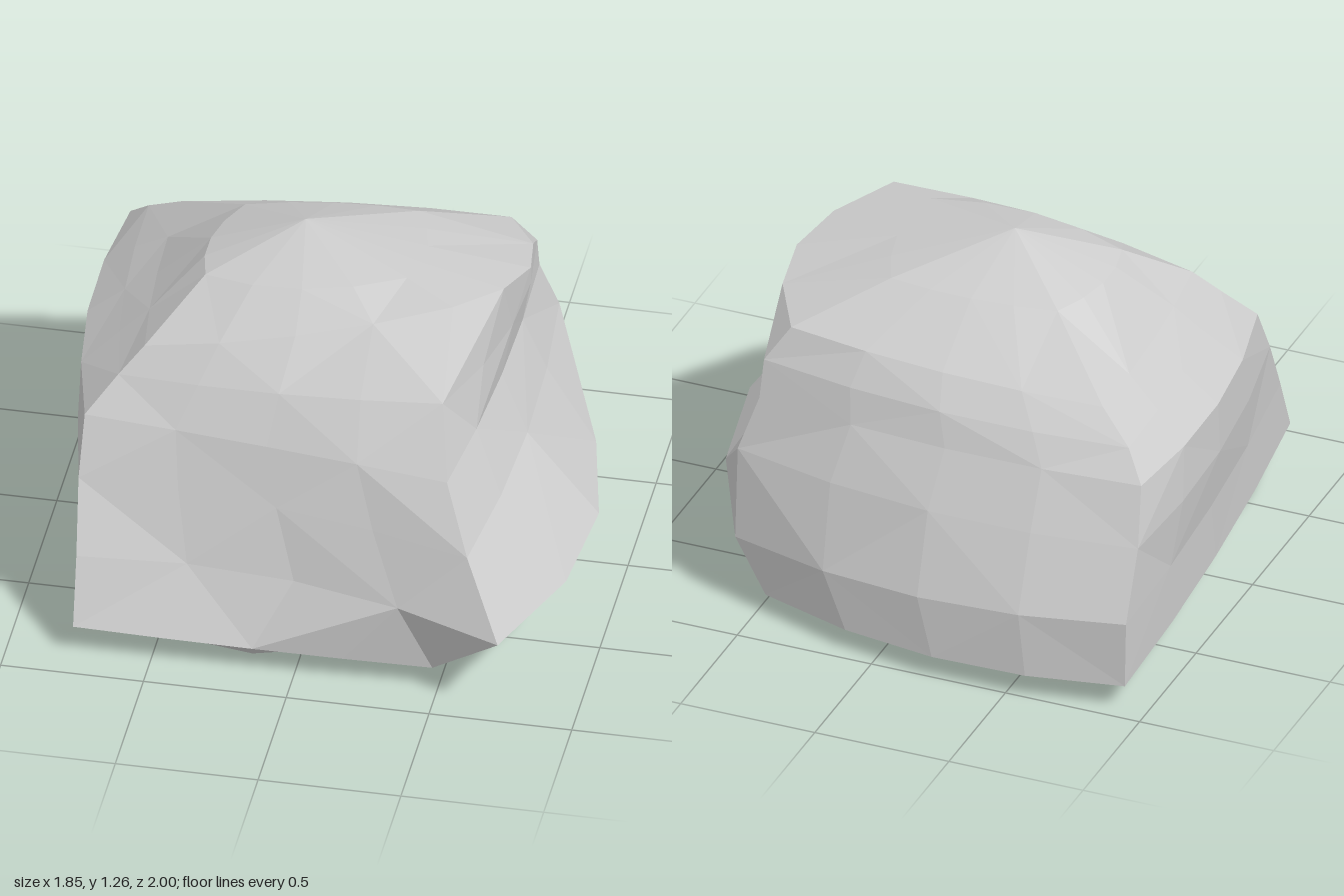
import * as THREE from 'three';

const STEPS = 4; // facets along each side of the rock

// A four-sided cross-section. Corners run front-left, front-right, back-right,
// back-left as x,y,z; bulge pushes the middle of the front, right, back and
// left sides outwards.
function ring(corners, bulge) {
  const points = [];
  corners.forEach((corner, side) => {
    const from = new THREE.Vector3(...corner);
    const to = new THREE.Vector3(...corners[(side + 1) % 4]);
    const angle = side * Math.PI / 2;
    const outward = new THREE.Vector3(Math.sin(angle), 0, Math.cos(angle));
    for (let i = 0; i < STEPS; i++) {
      const t = i / STEPS;
      points.push(from.clone().lerp(to, t).addScaledVector(outward, bulge[side] * 4 * t * (1 - t)));
    }
  });
  return points;
}

// Joins the rings with triangles and closes both ends with a fan.
function loft(rings, bottom, top) {
  const n = rings[0].length;
  const points = [...rings.flat(), bottom, top];
  const index = [];
  const topId = points.length - 1;
  const last = (rings.length - 1) * n;
  for (let i = 0; i < n; i++) {
    const j = (i + 1) % n;
    index.push(j, i, topId - 1, last + i, last + j, topId);
    for (let r = 0; r < rings.length - 1; r++) {
      const a = r * n + i, b = r * n + j, c = b + n, d = a + n;
      // alternate the diagonal for a chipped look
      if ((r + i) % 2) index.push(a, b, c, a, c, d);
      else index.push(a, b, d, b, c, d);
    }
  }
  const geometry = new THREE.BufferGeometry().setFromPoints(points);
  geometry.setIndex(index);
  const flat = geometry.toNonIndexed();
  flat.computeVertexNormals();
  return flat;
}

export function createModel() {
  const rings = [
    // underside, where the rock rests
    ring([[-0.78, 0.03, 0.55], [0.46, 0, 0.42], [0.42, 0.02, -0.5], [-0.78, 0.04, -0.6]], [0.3, 0, 0.1, 0]),
    // foot
    ring([[-0.77, 0.11, 0.88], [0.48, 0.08, 0.84], [0.47, 0.07, -0.82], [-0.92, 0.09, -0.94]], [0.01, 0.1, 0.12, 0.03]),
    // overhanging ledge with a pointed front corner
    ring([[-0.78, 0.33, 0.77], [0.74, 0.32, 1], [0.6, 0.25, -0.78], [-0.92, 0.33, -0.93]], [-0.12, 0.25, 0.12, 0.03]),
    // shoulder above the ledge
    ring([[-0.8, 0.56, 0.63], [0.6, 0.55, 0.83], [0.62, 0.56, -0.71], [-0.91, 0.56, -0.8]], [-0.06, 0.05, 0.09, 0.06]),
    // waist
    ring([[-0.8, 0.75, 0.52], [0.5, 0.75, 0.68], [0.56, 0.75, -0.66], [-0.88, 0.75, -0.7]], [-0.01, 0.03, 0.05, 0.07]),
    ring([[-0.7, 0.87, 0.43], [0.45, 0.95, 0.5], [0.56, 0.88, -0.62], [-0.8, 0.84, -0.62]], [0.03, 0.08, 0.06, 0.03]),
    // rim of the crown
    ring([[-0.62, 0.96, 0.37], [0.43, 1.16, 0.22], [0.48, 1, -0.57], [-0.67, 0.93, -0.54]], [0.06, 0.17, 0.04, 0.02]),
    // crown
    ring([[-0.45, 1.13, 0.15], [0.25, 1.19, 0.12], [0.2, 1.14, -0.35], [-0.4, 1.12, -0.3]], [0.08, 0.05, 0.03, 0.05]),
  ];
  const geometry = loft(rings, new THREE.Vector3(-0.1, 0.04, 0), new THREE.Vector3(-0.14, 1.26, -0.06));
  const rock = new THREE.Mesh(geometry, new THREE.MeshStandardMaterial({ color: 0xcccccc, flatShading: true }));
  rock.name = 'boulder';
  const model = new THREE.Group();
  model.name = 'rock';
  model.add(rock);
  return model;
}
